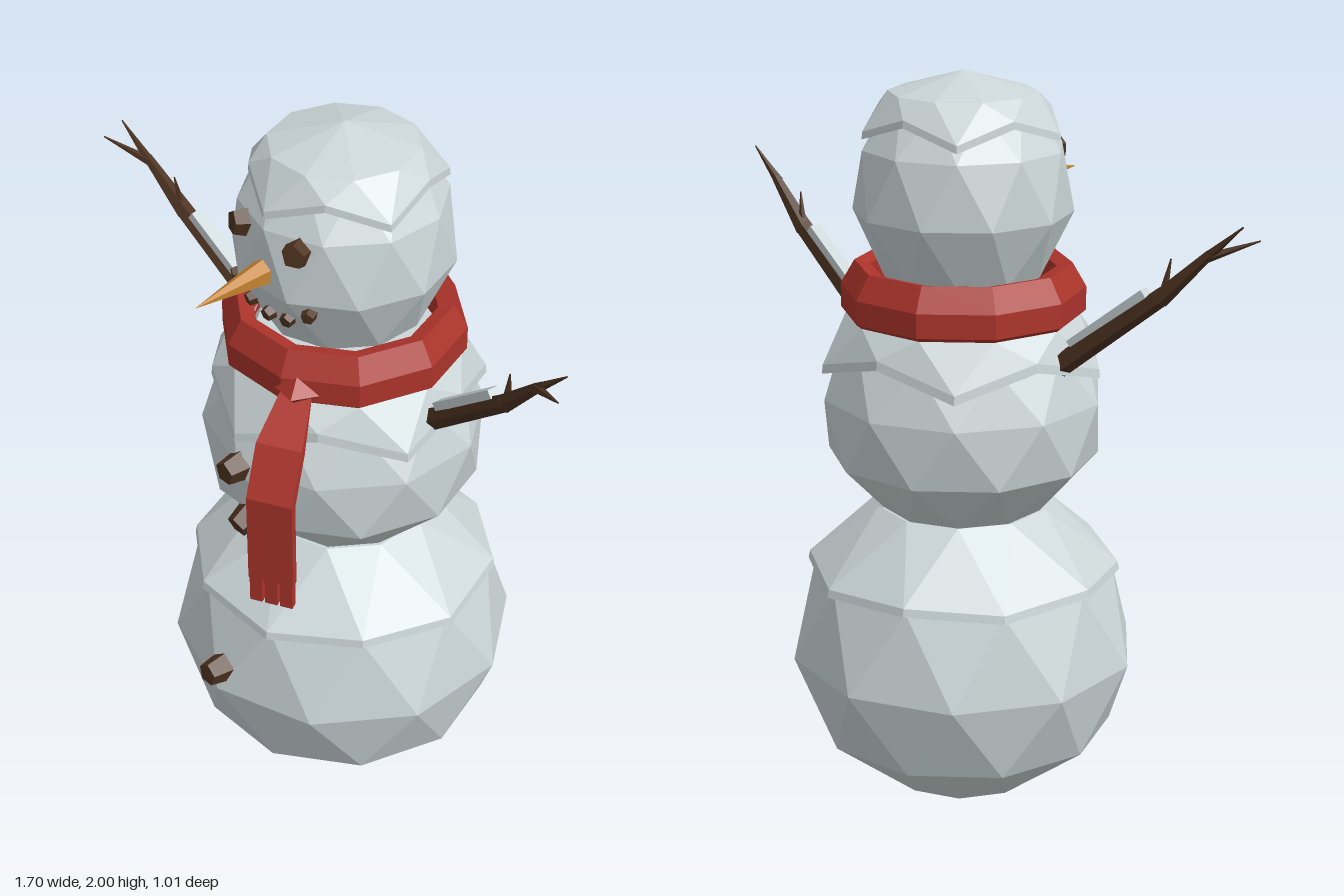
import * as THREE from 'three';

const N = 10; // sides of every snowball ring
const CZ = -0.015; // depth of the body axis

const mat = (name, color, extra = {}) => {
  const m = new THREE.MeshStandardMaterial({ color, flatShading: true, ...extra });
  m.name = name;
  return m;
};

// Faceted shell through rings [y, radius, offset, zigzag y, zigzag radius], bottom to top
function ringShell(rings) {
  const pts = rings.map(([y, r, off, zy = 0, zr = 0]) => (i) => {
    const a = ((i + off) / N) * Math.PI * 2;
    const odd = i % 2;
    const rr = r + odd * zr;
    return [rr * Math.sin(a), y + odd * zy, rr * Math.cos(a) + CZ];
  });
  const pos = [];
  for (let k = 0; k < rings.length - 1; k++) {
    const L = pts[k], U = pts[k + 1];
    const lowerShifted = rings[k][2] > rings[k + 1][2];
    for (let i = 0; i < N; i++) {
      const j = i + 1;
      const tris = lowerShifted
        ? [L(i), L(j), U(j), L(i), U(j), U(i)]
        : [L(i), L(j), U(i), L(j), U(j), U(i)];
      tris.forEach((p) => pos.push(...p));
    }
  }
  const g = new THREE.BufferGeometry();
  g.setAttribute('position', new THREE.Float32BufferAttribute(pos, 3));
  g.computeVertexNormals();
  return g;
}

export function createModel() {
  const model = new THREE.Group();
  model.name = 'snowman';
  const snow = mat('snow', 0xcbd5d7);
  const red = mat('scarf red', 0xac342b);
  const coal = mat('coal brown', 0x503420);
  const bark = mat('bark brown', 0x4c3220);
  const orange = mat('carrot orange', 0xc4832e);

  const add = (name, geo, material, parent = model) => {
    const m = new THREE.Mesh(geo, material);
    m.name = name;
    parent.add(m);
    return m;
  };

  // Snowballs
  add('bottomBall', ringShell([
    [0, 0, 0], [0, 0.215, 0], [0.16, 0.415, 0.5], [0.385, 0.485, 0],
    [0.63, 0.415, 0.5], [0.8, 0.23, 0], [0.8, 0, 0],
  ]), snow);
  add('middleBall', ringShell([
    [0.81, 0, 0], [0.81, 0.225, 0], [0.96, 0.37, 0.5], [1.13, 0.385, 0],
    [1.28, 0.325, 0.5], [1.4, 0.24, 0], [1.4, 0, 0],
  ]), snow);
  add('head', ringShell([
    [1.4, 0, 0], [1.46, 0.215, 0], [1.63, 0.295, 0.5], [1.8, 0.272, 0],
    [1.92, 0.19, 0.5], [1.98, 0, 0.5],
  ]), snow);

  // Draped snow caps with a thick zigzag rim
  add('bottomSnowCap', ringShell([
    [0.63, 0.38, 0.5, 0.015], [0.615, 0.435, 0.5, 0.015],
    [0.637, 0.43, 0.5, 0.015], [0.815, 0.24, 0],
  ]), snow);
  add('middleSnowCap', ringShell([
    [1.22, 0.33, 0, 0.06, -0.03], [1.205, 0.39, 0, 0.06, -0.035],
    [1.23, 0.387, 0, 0.06, -0.035], [1.35, 0.315, 0.5], [1.41, 0.25, 0],
  ]), snow);
  add('headSnowCap', ringShell([
    [1.84, 0.22, 0, 0.05, -0.03], [1.83, 0.272, 0, 0.05, -0.03],
    [1.85, 0.27, 0, 0.05, -0.03], [1.945, 0.198, 0.5], [2.0, 0, 0.5],
  ]), snow);

  // Scarf ring
  add('scarfRing', ringShell([
    [1.48, 0.25, 0.5], [1.34, 0.25, 0.5], [1.34, 0.305, 0.5], [1.36, 0.33, 0.5],
    [1.425, 0.33, 0.5], [1.49, 0.292, 0.5], [1.48, 0.25, 0.5],
  ]), red);

  // Scarf knot and hanging tail, turned outwards
  const scarfEnd = new THREE.Group();
  scarfEnd.name = 'scarfEnd';
  scarfEnd.position.set(0.145, 0, 0.28);
  scarfEnd.rotation.y = 0.47;
  model.add(scarfEnd);
  const knot = add('scarfKnot', new THREE.OctahedronGeometry(0.055), red, scarfEnd);
  knot.position.set(0, 1.4, 0.005);
  knot.scale.set(1.1, 0.8, 0.8);
  const side = new THREE.Shape([
    [0, 1.405], [0.135, 1.315], [0.21, 1.19], [0.21, 0.93],
    [0.185, 0.93], [0.185, 1.18], [0.115, 1.295], [-0.02, 1.375],
  ].map(([d, y]) => new THREE.Vector2(-d, y)));
  const tail = new THREE.ExtrudeGeometry(side, { depth: 0.124, bevelEnabled: false });
  tail.translate(0, 0, -0.062).rotateY(Math.PI / 2);
  const tp = tail.attributes.position;
  for (let i = 0; i < tp.count; i++) {
    if (tp.getY(i) > 1.35) tp.setX(i, tp.getX(i) * 0.65); // gathered at the knot
    tp.setZ(i, Math.abs(tp.getZ(i)));
  }
  tail.computeVertexNormals();
  add('scarfTail', tail, red, scarfEnd);
  for (const i of [-1, 0, 1]) {
    add('scarfFringe', new THREE.BoxGeometry(0.034, 0.085, 0.024), red, scarfEnd)
      .position.set(i * 0.042, 0.897, 0.198);
  }

  // Coal lumps: five-sided tapered plugs facing along the surface
  const lump = (name, x, y, z, r, tilt, yaw = 0) => {
    const g = new THREE.CylinderGeometry(r * 0.75, r, r * 1.4, 5);
    g.rotateY(Math.PI).rotateX(Math.PI / 2);
    const m = add(name, g, coal);
    m.position.set(x, y, z);
    m.rotation.set(tilt, yaw, 0, 'YXZ');
  };
  lump('button', 0, 1.12, 0.382, 0.044, 0);
  lump('button', 0, 0.93, 0.348, 0.044, 0.35);
  lump('button', 0, 0.455, 0.472, 0.044, -0.1);
  for (const s of [-1, 1]) {
    lump('eye', s * 0.102, 1.77, 0.236, 0.042, -0.15, s * 0.4);
    lump('mouthPebble', s * 0.135, 1.6, 0.23, 0.023, 0.1, s * 0.5);
    lump('mouthPebble', s * 0.068, 1.562, 0.24, 0.023, 0.2, s * 0.25);
  }
  lump('mouthPebble', 0, 1.55, 0.242, 0.023, 0.2);

  // Carrot nose
  const nose = add('nose', new THREE.ConeGeometry(0.04, 0.25, 6).rotateX(Math.PI / 2), orange);
  nose.position.set(0, 1.675, 0.36);
  nose.rotation.x = 0.04;

  // Tapered stick between two points
  const stick = (name, a, b, r1, r2, parent, material = bark) => {
    const p = new THREE.Vector3(...a), q = new THREE.Vector3(...b);
    const d = q.clone().sub(p);
    const m = add(name, new THREE.CylinderGeometry(r2, r1, d.length(), 5), material, parent);
    m.position.copy(p).addScaledVector(d, 0.5);
    m.quaternion.setFromUnitVectors(new THREE.Vector3(0, 1, 0), d.normalize());
  };

  // Branch arms with twigs and a strip of snow on top
  for (const s of [-1, 1]) {
    const arm = new THREE.Group();
    arm.name = s > 0 ? 'leftArm' : 'rightArm';
    model.add(arm);
    const at = (x, y, z) => [s * x, y, z];
    stick('branch', at(0.3, 1.24, -0.02), at(0.62, 1.49, 0.02), 0.033, 0.025, arm);
    stick('forearm', at(0.61, 1.48, 0.018), at(0.74, 1.61, 0.04), 0.026, 0.013, arm);
    stick('twig', at(0.73, 1.6, 0.04), at(0.83, 1.69, 0.05), 0.014, 0.002, arm);
    stick('twig', at(0.73, 1.6, 0.04), at(0.85, 1.65, 0.1), 0.014, 0.002, arm);
    stick('twig', at(0.62, 1.49, 0.02), at(0.635, 1.585, 0.03), 0.013, 0.002, arm);
    const strip = add('armSnow', new THREE.BoxGeometry(0.27, 0.024, 0.036), snow, arm);
    strip.position.set(s * 0.468, 1.408, 0.001);
    strip.rotation.set(0, -s * 0.12, s * 0.663);
  }
  return model;
}
